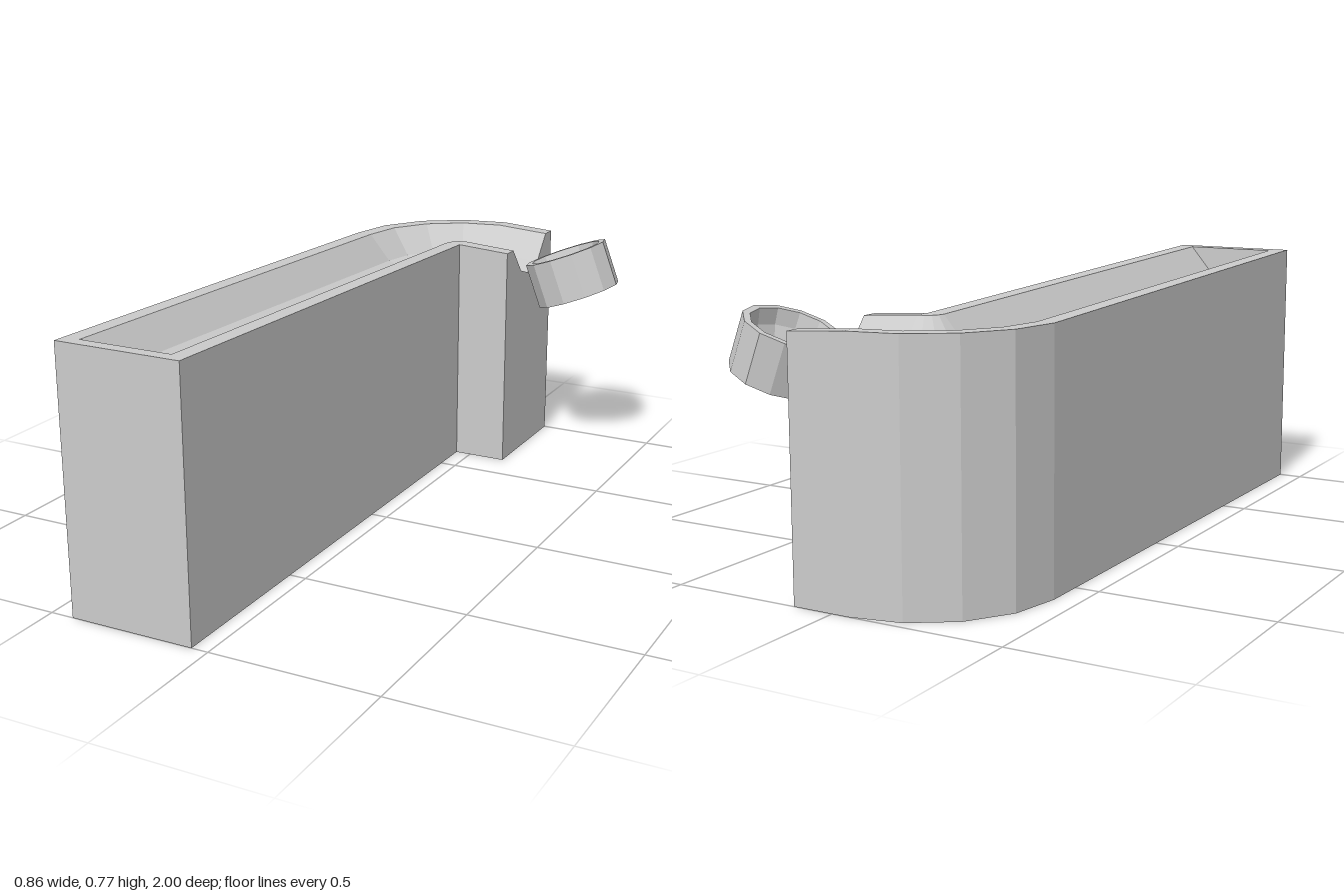
import * as THREE from 'three';

const material = new THREE.MeshStandardMaterial({ color: 0xcccccc, flatShading: true, side: THREE.DoubleSide });

// Solid base with a gutter in its top, swept along a straight run, a quarter bend and a short outlet
function channelGeometry() {
  const across = [0, 0.05, 0.12, 0.19, 0.26, 0.33, 0.38];
  const depth = [0, 0, 0.083, 0.105, 0.083, 0, 0];
  const stations = [];
  const add = (x, z, angle, top, cut = 1) => stations.push({ x, z, angle, top, cut });

  add(-0.05, 1, 0, 0.775, 0);
  add(-0.05, 0.96, 0, 0.774, 0); // closed end wall
  add(-0.05, 0.96, 0, 0.774);
  for (let i = 0; i <= 4; i++) add(-0.05, -0.62, (i * Math.PI) / 8, 0.725);
  add(0.12, -0.62, Math.PI / 2, 0.713);

  const ring = ({ x, z, angle, top, cut }) => {
    const at = (r, y) => [x - r * Math.cos(angle), y, z - r * Math.sin(angle)];
    return {
      top: across.map((r, i) => at(r, top - depth[i] * cut)),
      base: across.map((r) => at(r, 0)),
    };
  };
  const rings = stations.map(ring);
  const positions = [];
  const quad = (a, b, c, d) => positions.push(...a, ...b, ...c, ...a, ...c, ...d);

  // Skin between neighbouring cross-sections
  for (let s = 0; s < rings.length - 1; s++) {
    const loops = [rings[s], rings[s + 1]].map((r) => [...r.top, ...[...r.base].reverse()]);
    const n = loops[0].length;
    for (let i = 0; i < n; i++) {
      const j = (i + 1) % n;
      quad(loops[0][i], loops[1][i], loops[1][j], loops[0][j]);
    }
  }
  // End faces
  const first = rings[0];
  const last = rings[rings.length - 1];
  for (let i = 0; i < across.length - 1; i++) {
    quad(first.top[i], first.top[i + 1], first.base[i + 1], first.base[i]);
    quad(last.top[i + 1], last.top[i], last.base[i], last.base[i + 1]);
  }

  const geometry = new THREE.BufferGeometry();
  geometry.setAttribute('position', new THREE.Float32BufferAttribute(positions, 3));
  geometry.computeVertexNormals();
  return geometry;
}

// Twelve-sided cup with a round hollow
function cupGeometry() {
  const radius = 0.137;
  const half = 0.0735;
  const hollow = 0.117;
  const profile = [
    new THREE.Vector2(0, -half),
    new THREE.Vector2(radius, -half),
    new THREE.Vector2(radius, half),
  ];
  for (let i = 0; i <= 4; i++) {
    const a = (i * Math.PI) / 8;
    profile.push(new THREE.Vector2(i === 4 ? 0 : hollow * Math.cos(a), half - hollow * Math.sin(a)));
  }
  return new THREE.LatheGeometry(profile, 12);
}

export function createModel() {
  const model = new THREE.Group();
  model.name = 'channelAndCup';

  const channel = new THREE.Mesh(channelGeometry(), material);
  channel.name = 'channel';
  model.add(channel);

  // Cup tilted towards the outlet
  const cup = new THREE.Mesh(cupGeometry(), material);
  cup.name = 'cup';
  cup.position.set(0.274, 0.6225, -0.81);
  cup.rotation.z = THREE.MathUtils.degToRad(21);
  model.add(cup);

  return model;
}
